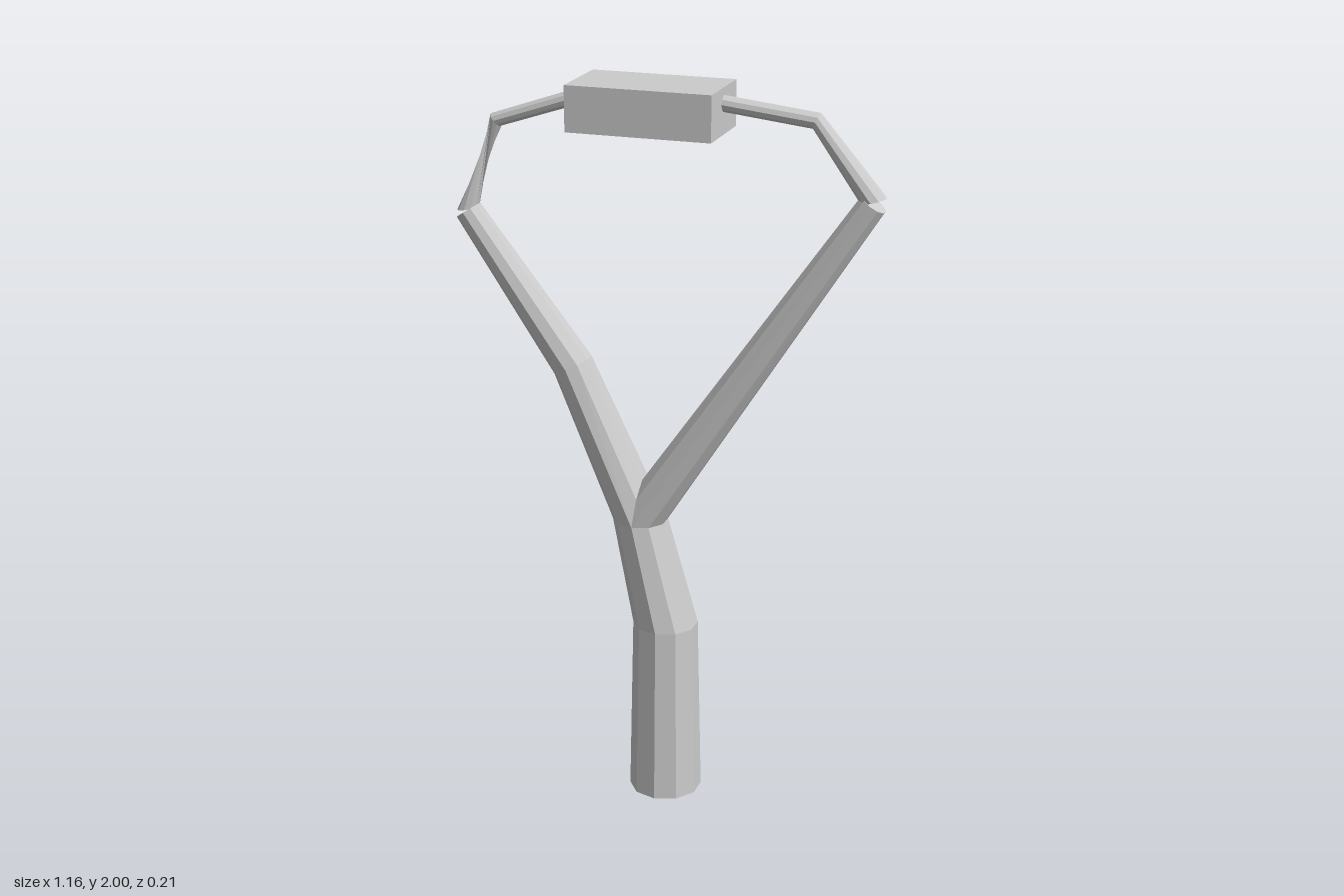
import * as THREE from 'three';

const SIDES = 10;
const material = new THREE.MeshStandardMaterial({ color: 0xcccccc, flatShading: true });

// Faceted limb through rings of [x, y, radius, tilt in degrees, twist in steps]
function limb(name, rings) {
  const pos = [], index = [];
  const addRing = ([x, y, r, tilt, twist = 0]) => {
    const t = THREE.MathUtils.degToRad(tilt);
    for (let j = 0; j < SIDES; j++) {
      const a = Math.PI / 2 + ((j + twist) / SIDES) * Math.PI * 2;
      const u = r * Math.cos(a);
      pos.push(x + u * Math.cos(t), y + u * Math.sin(t), r * Math.sin(a));
    }
  };
  rings.forEach(addRing);
  for (let i = 0; i < rings.length - 1; i++) {
    for (let j = 0; j < SIDES; j++) {
      const k = (j + 1) % SIDES;
      const a = i * SIDES + j, b = i * SIDES + k;
      index.push(a, a + SIDES, b, b, a + SIDES, b + SIDES);
    }
  }
  // End caps
  const top = (rings.length - 1) * SIDES;
  for (let j = 1; j < SIDES - 1; j++) {
    index.push(0, j, j + 1, top, top + j + 1, top + j);
  }
  const geo = new THREE.BufferGeometry();
  geo.setAttribute('position', new THREE.Float32BufferAttribute(pos, 3));
  geo.setIndex(index);
  const flat = geo.toNonIndexed();
  flat.computeVertexNormals();
  const mesh = new THREE.Mesh(flat, material);
  mesh.name = name;
  return mesh;
}

export function createModel() {
  const group = new THREE.Group();
  group.name = 'slingshot';

  // Handle running on into the bent left-hand prong
  group.add(limb('handleAndBentProng', [
    [0, 0, 0.1, 0],
    [0, 0.505, 0.089, 0],
    [-0.072, 0.805, 0.075, 0],
    [-0.262, 1.225, 0.056, 28],
    [-0.552, 1.627, 0.037, 33],
  ]));

  // Straight prong sharing the ring at the fork
  group.add(limb('straightProng', [
    [-0.072, 0.805, 0.075, 0],
    [0.545, 1.735, 0.037, -35],
  ]));

  // Elastic bands: the one on the bent prong is twisted
  group.add(limb('twistedBand', [
    [-0.552, 1.632, 0.03, 10],
    [-0.465, 1.875, 0.021, -50, 4],
    [-0.22, 1.957, 0.021, -75, 4],
  ]));
  group.add(limb('straightBand', [
    [0.545, 1.742, 0.034, 14],
    [0.395, 1.932, 0.022, 66],
    [0.145, 1.96, 0.021, 83],
  ]));

  // Pouch block between the bands
  const pouch = new THREE.Mesh(new THREE.BoxGeometry(0.388, 0.12, 0.21), material);
  pouch.position.set(-0.04, 1.94, 0);
  pouch.name = 'pouch';
  group.add(pouch);

  return group;
}
